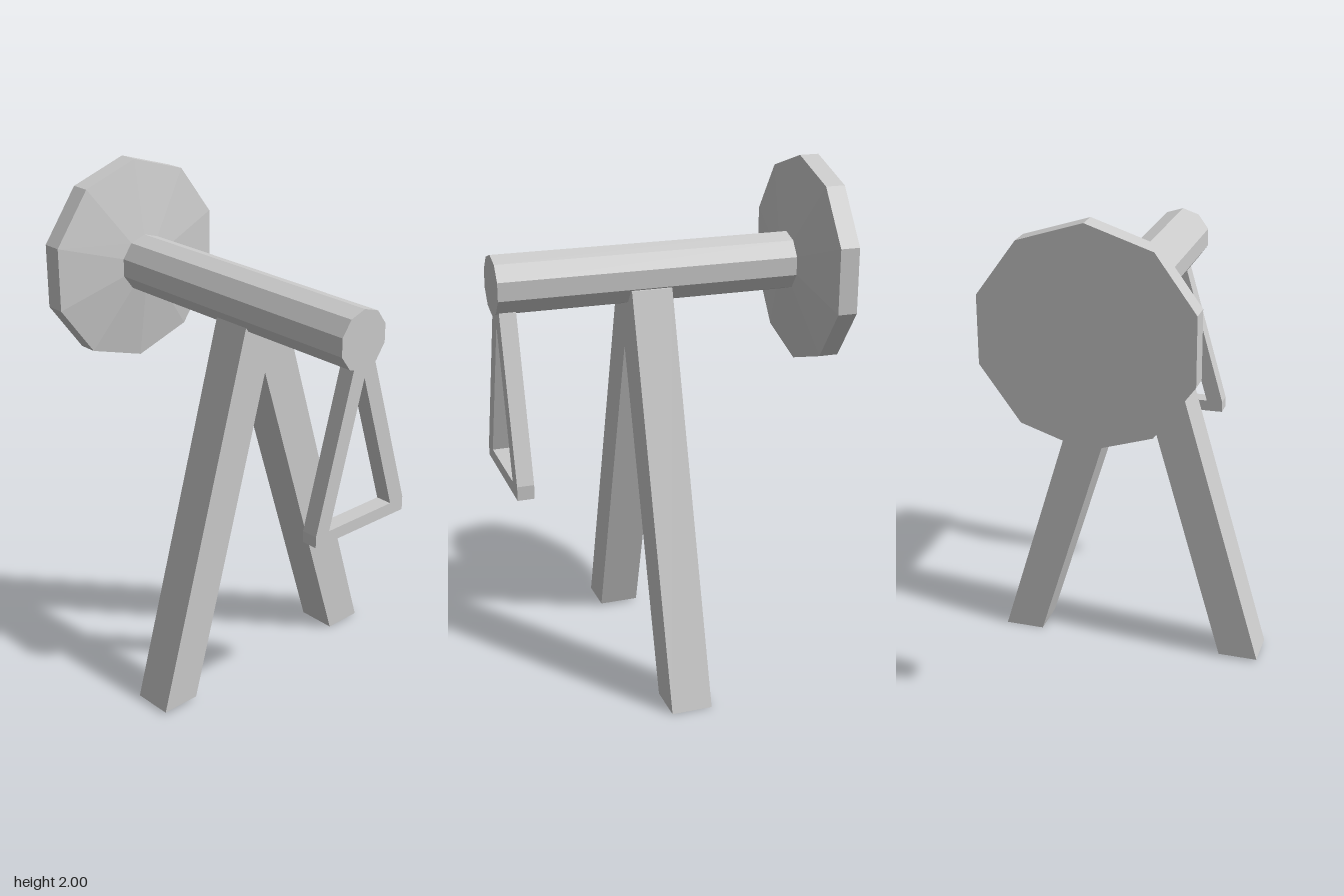
import * as THREE from 'three';

const material = new THREE.MeshStandardMaterial({ color: 0xcccccc, flatShading: true });

// Flat outline in the xy plane, given depth from z0 to z1
function slab(name, outline, z0, z1, hole) {
  const toPoints = (list) => list.map(([x, y]) => new THREE.Vector2(x, y));
  const shape = new THREE.Shape(toPoints(outline));
  if (hole) shape.holes.push(new THREE.Path(toPoints(hole)));
  const geometry = new THREE.ExtrudeGeometry(shape, { depth: z1 - z0, bevelEnabled: false });
  geometry.translate(0, 0, z0);
  const mesh = new THREE.Mesh(geometry, material);
  mesh.name = name;
  return mesh;
}

// Ten-sided solid turned around the z axis, profile as [radius, z]
function turned(name, profile) {
  const geometry = new THREE.LatheGeometry(profile.map(([r, z]) => new THREE.Vector2(r, z)), 10);
  geometry.rotateX(Math.PI / 2);
  const mesh = new THREE.Mesh(geometry, material);
  mesh.name = name;
  mesh.position.set(-0.037, 1.59, 0);
  return mesh;
}

export function createModel() {
  const model = new THREE.Group();
  model.name = 'model';

  // Horizontal shaft
  model.add(turned('shaft', [[0, -0.54], [0.115, -0.54], [0.115, 0.655], [0, 0.655]]));

  // Rear disc with a shallow cone towards the shaft
  model.add(turned('disc', [[0, -0.655], [0.41, -0.655], [0.41, -0.578], [0.115, -0.53], [0, -0.53]]));

  // Splayed legs meeting under the shaft
  model.add(slab('legs', [
    [-0.55, 0.01], [-0.39, 0.01], [-0.018, 1.31], [0.385, 0],
    [0.545, 0], [0.08, 1.55], [-0.107, 1.55],
  ], -0.015, 0.145));

  // Triangular handle hanging from the front end
  model.add(slab('handle', [
    [-0.243, 0.84], [0.226, 0.83], [0.226, 0.885], [0.035, 1.5], [-0.067, 1.5], [-0.243, 0.885],
  ], 0.58, 0.645, [[-0.175, 0.885], [-0.015, 1.44], [0.157, 0.88]]));

  return model;
}
